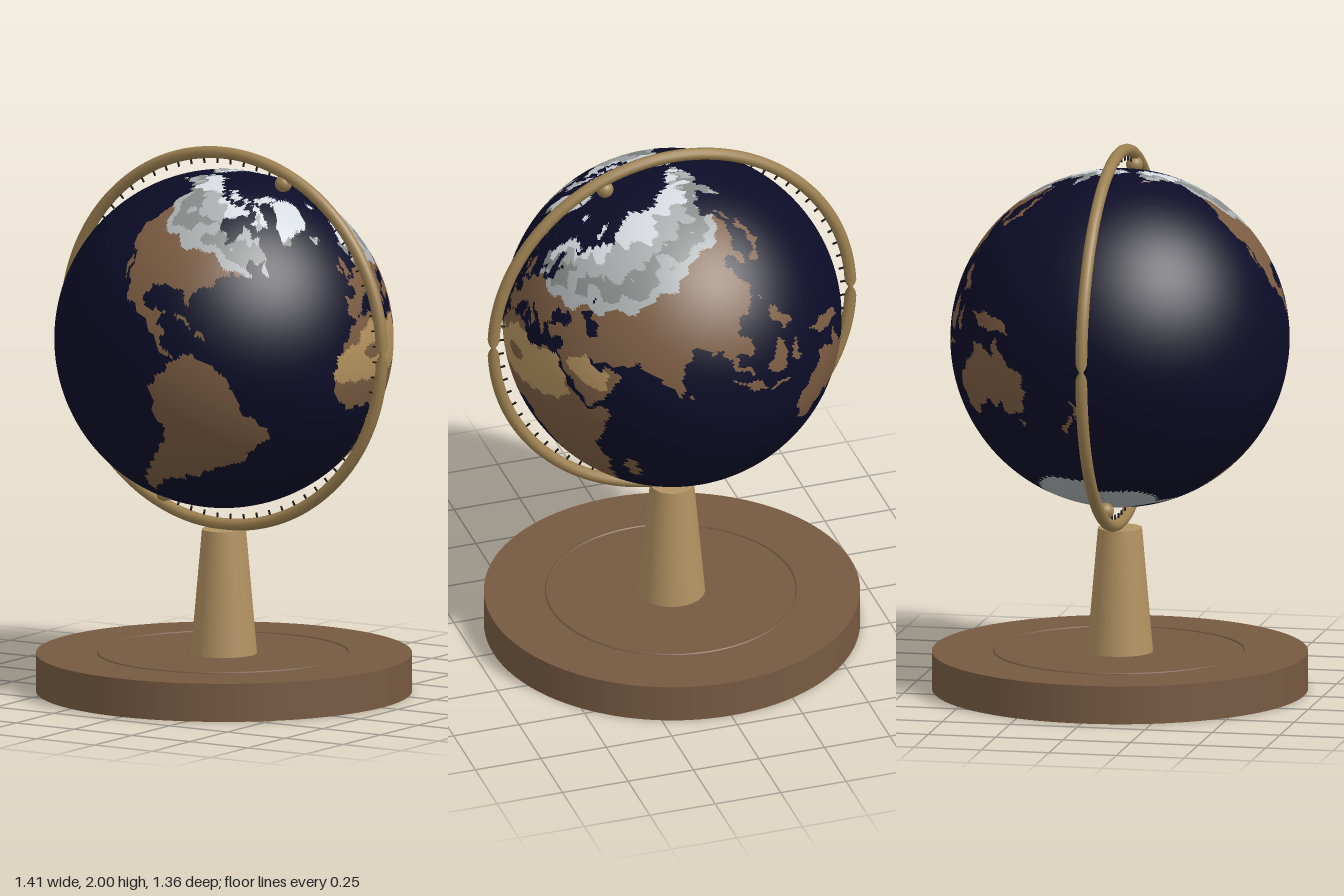
import * as THREE from 'three';

const paint = (name, color) => Object.assign(new THREE.MeshStandardMaterial({ color }), { name });
const M = {
  ocean: paint('ocean navy', 0x0c0c28), land: paint('land brown', 0x7b5c42),
  desert: paint('desert sand', 0xb3925f), snow: paint('snow white', 0xd6dbe1),
  ice: paint('light grey', 0xa9aeaf), rock: paint('mid grey', 0x868b89),
  wood: paint('base wood', 0x775a42), brass: paint('stand brass', 0xb19262),
  ring: paint('ring brass', 0x9c8051), tick: paint('tick black', 0x1c1814),
};
const CENTER = 1.295, R = 0.615, TILT = THREE.MathUtils.degToRad(23.4);

// Coast outlines as longitude, latitude pairs
const northAmerica = [-168, 66, -156, 71, -141, 70, -128, 70, -115, 68, -96, 68, -94, 72, -90, 69, -82, 69.5,
  -82, 67, -87, 65, -94, 60, -92, 57, -82, 55, -80, 51.5, -77, 56, -78, 62, -73, 62, -69, 58.5, -65, 60,
  -61, 56, -56, 52, -60, 50, -66, 50, -65, 48.5, -64, 46, -60, 46, -65, 43.5, -70, 43.5, -70, 41.5, -74, 40.5,
  -76, 36, -81, 31.5, -80, 26, -82, 27, -84, 30, -90, 29.5, -97, 27, -107, 24, -113, 31.5, -117.5, 33,
  -121, 35, -124, 40, -124, 47, -130, 54, -135, 59, -146, 60.5, -152, 59, -164, 54.5, -158, 58.5, -165, 61, -161, 64];
const centralAmerica = [-97, 28, -97.5, 22, -95, 18.5, -91, 18.5, -90, 21, -87, 21, -88.5, 16, -83.5, 15, -83.5, 11,
  -80, 9, -77, 8, -80, 7.5, -85, 10, -88, 13, -94, 16, -102, 18, -105.5, 20.5, -109, 26, -113, 31];
const southAmerica = [-77, 8, -72, 12, -62, 10.5, -52, 5, -50, 0, -44, -2.5, -37, -5, -35, -8, -39, -14, -40, -21,
  -48, -26, -53, -33.5, -57, -35, -57, -38, -62, -39, -65, -43, -66, -47, -69, -51, -66, -55, -72, -53.5,
  -75, -48, -73, -39, -71.5, -30, -70, -19, -76, -14, -81, -5, -80, 0, -77.5, 4];
const africa = [-6, 35.5, 3, 37, 10, 37, 11, 34, 19, 30.5, 23, 32.5, 32, 31, 33, 28, 37, 20, 39.5, 15, 43, 12, 51, 11.5,
  48, 5, 41, -2, 39, -6, 40.5, -14, 35, -20, 35, -24, 32.5, -28, 27, -33.5, 19, -34.5, 15, -26, 12, -17, 13.5, -9,
  9, -1, 9.5, 4, 5, 5, -4, 5, -8, 4.5, -13, 8.5, -17, 14, -16.5, 21, -13, 27.5, -9.5, 31];
const europe = [-9, 43, -9, 37, -5.5, 36, -1, 37, 0, 39.5, 3, 42, 6, 43, 9, 44.3, 11, 42.5, 16, 38, 17, 40.5, 12.5, 44.5,
  14, 45, 19, 42, 20, 39.5, 23, 36.5, 24, 40, 28, 41, 28, 44, 31, 46.5, 34, 44.5, 37, 47, 41.5, 41.3, 48, 41.8,
  47, 45, 51, 47, 56, 50, 61, 55, 63, 69, 54, 68.5, 44, 68, 40, 65, 33, 66.5, 41, 67, 33, 69.5, 26, 71, 18, 69.5,
  13, 66, 5, 62, 5.5, 58.5, 8, 58, 11, 59, 12.5, 56, 16, 56.5, 18, 60, 18, 62.5, 22, 65.5, 25, 65, 21.5, 62,
  22, 60, 29, 60, 23.5, 59, 21, 55, 14, 54, 10.5, 57.5, 8, 56.5, 8.5, 54, 4, 52, 1.5, 50.5, -4.5, 48.5, -1.5, 46, -2, 43.5];
const southAsia = [48, 42, 41, 41.5, 31, 41.3, 27, 40, 27.5, 37, 36, 36.5, 35, 33, 33, 31, 34, 28, 35, 28, 39, 21, 43, 13,
  45, 13, 52, 16, 59.5, 22, 56, 26, 51.5, 24.5, 48, 30, 51, 28.5, 57, 27, 61.5, 25, 67, 25, 70, 21, 73, 18, 77.5, 8,
  80, 13, 82, 16.5, 87, 21, 91, 22.5, 94, 17, 97.5, 16.5, 98.5, 8, 103.5, 1.5, 103, 5, 100, 9, 100.5, 13, 105, 9,
  109, 12, 106, 18, 108, 21.5, 113, 22, 119, 25, 121.5, 30, 119, 35, 122, 37, 118, 39, 118, 42, 60, 50, 51, 47,
  53, 45, 51, 44, 54, 41, 54, 37, 49, 37.5, 49, 40];
const northAsia = [54, 47, 118, 38.5, 121.5, 40.5, 125, 39.5, 126.5, 34.5, 129, 36, 128, 40, 133, 43, 140, 48, 140, 53,
  136, 54.5, 142, 59, 152, 59, 156, 61, 156.5, 51, 162, 56, 163, 60, 171, 60, 180, 62.5, 180, 69, 170, 70, 160, 69.5,
  150, 71.5, 140, 72.5, 130, 71, 113, 74, 104, 77.5, 97, 76, 87, 75, 80, 72.5, 73, 71, 72, 68, 62, 69, 59, 55];
const australia = [114, -22, 122, -18, 129, -15, 131, -12, 136.5, -12, 136, -15, 140, -17.5, 142.5, -11, 146, -19,
  153, -25, 153, -31, 150, -37.5, 145, -38.5, 140, -37.5, 138, -33, 136, -35, 131, -31.5, 124, -33, 118, -35, 115, -34];
const antarctica = [-180, -78, -158, -77, -130, -74, -100, -72.5, -75, -73, -67, -67, -57, -63.5, -61, -74, -50, -78,
  -35, -78, -25, -74, -10, -71, 35, -69.5, 50, -66.5, 70, -68.5, 90, -66.5, 135, -66, 150, -68.5, 170, -71, 165, -78,
  180, -78, 180, -91, -180, -91];
const greenland = [-73, 78, -60, 82, -35, 83.5, -18, 81, -20, 75, -22, 70.5, -32, 68, -40, 65, -43, 60, -50, 62, -54, 68, -60, 76];
const arcticIsles = [
  [-62, 66, -68, 63, -77, 65, -73, 67.5, -78, 70, -89, 73, -80, 73.5, -70, 70.5],
  [-117, 70, -115, 73, -105, 73, -102, 69.5], [-125, 72, -122, 74.5, -116, 73, -120, 71],
  [-90, 77, -80, 76.5, -64, 81.5, -65, 82.5, -90, 81.5], [-95, 75, -80, 75, -82, 76.5, -95, 77],
  [-102, 72, -92, 72, -93, 74, -100, 74], [52, 71, 56, 71, 68, 76.5, 60, 76], [12, 79, 20, 77, 27, 80, 16, 80],
  [-180, 69, -170, 66, -180, 62.5], [-24, 65.5, -18, 66.5, -14, 65, -19, 63.5],
];
const pacificIsles = [
  [131, -1, 138, -2, 147, -6.5, 150, -10.5, 143, -9, 138, -8, 133, -4], [109, 1, 117, 7, 119, 4, 116, -4, 110, -3],
  [95, 5.5, 104, -2, 106, -6, 102, -4], [105, -6, 114, -7.5, 114.5, -8.7, 106, -7.7],
  [119, -5, 120, 1, 125, 1.5, 122, -1, 123, -5], [120, 18, 122, 18, 126, 8, 122, 8, 120, 14],
  [130, 33, 136, 35.5, 140, 39, 141, 45, 145, 43.5, 141.5, 40, 141, 36, 136, 33.5, 131, 31],
  [173, -35, 178, -38, 175, -41.5, 174, -39], [172.5, -40.5, 174, -42, 169, -46.5, 166.5, -46],
  [145, -41, 148, -41, 147, -43.5], [120, 23, 121.5, 25, 121, 22], [142, 46, 143, 54, 144, 49],
];
const otherIsles = [
  [-5, 50, 1.5, 51.5, -2, 56, -3, 58.5, -6, 57, -3, 54, -5, 52], [-10, 52, -6, 52, -6, 55, -9, 54],
  [-84, 22, -77, 20, -75, 20.3, -81, 23], [-74, 18, -69, 18.3, -70, 20, -73, 20], [-59, 47.5, -53, 47, -56, 51.5],
  [49, -12, 50, -16, 47, -25, 44, -23, 44.5, -16], [80, 9, 82, 7, 80.5, 6], [12.5, 38, 15.5, 38, 15, 36.7],
  [8.3, 39, 9.7, 39, 9.5, 43, 8.6, 42], [-115, 30, -112, 29, -109.5, 23, -112.5, 26],
];
const sandAreas = [
  [-17, 14.5, -17, 21, -13, 26, -7, 27, -2, 31, 3, 34, 10, 34, 20, 31, 32, 31.5, 35, 24, 36, 17, 32, 14.5, 20, 14, 0, 14.5],
  [36, 29, 46, 31, 55, 23, 52, 18, 46, 19],
];
const lands = [northAmerica, centralAmerica, southAmerica, africa, europe, southAsia, northAsia, australia,
  antarctica, greenland, ...arcticIsles, ...pacificIsles, ...otherIsles];
// Southern edge of the cold zone: longitude, latitude
const coldEdge = [[-180, 56], [-135, 56], [-112, 45], [-65, 44], [-20, 58], [12, 55], [30, 50], [70, 42], [110, 46], [140, 50], [180, 56]];

function inside(p, x, y) {
  let hit = false;
  for (let i = 0, j = p.length - 2; i < p.length; j = i, i += 2) {
    if ((p[i + 1] > y) !== (p[j + 1] > y) &&
      x < (p[j] - p[i]) * (y - p[i + 1]) / (p[j + 1] - p[i + 1]) + p[i]) hit = !hit;
  }
  return hit;
}

// Smooth wobble between about -1 and 1 for irregular borders
const wobble = (lon, lat) => (Math.sin(lon * 0.13 + lat * 0.21) + Math.sin(lon * 0.29 - lat * 0.37 + 2)
  + 0.7 * Math.sin(lon * 0.53 + lat * 0.61 + 1)) / 2.4;

function surfaceAt(lon, lat) {
  // Ragged coasts
  const x = lon + 0.7 * Math.sin(lat * 1.1 + lon * 0.3), y = lat + 0.6 * Math.sin(lon * 0.9);
  if (!lands.some((p) => inside(p, x, y))) return 'ocean';
  if (lat < -60) return 'ice';
  const w = wobble(lon, lat);
  if (sandAreas.some((p) => inside(p, x, y))) return Math.hypot((lon - 5) / 6, (lat - 24) / 2.5) < 1 ? 'land' : 'desert';
  const k = Math.max(1, coldEdge.findIndex((e) => e[0] >= lon));
  const [a, b] = [coldEdge[k - 1], coldEdge[k]];
  const depth = lat - (a[1] + (b[1] - a[1]) * (lon - a[0]) / (b[0] - a[0])) + 2.5 * w;
  if (depth < 0) return 'land';
  if (lat + 5 * w > 65) return 'snow';
  return depth > 4 && depth < 13 && w > -0.35 ? 'rock' : 'ice';
}

// Sphere whose triangles are sorted into one group per surface colour
function globeGeometry() {
  const geo = new THREE.SphereGeometry(R, 320, 160), uv = geo.attributes.uv, old = geo.index.array;
  const keys = ['ocean', 'land', 'desert', 'snow', 'ice', 'rock'];
  const lists = keys.map(() => []);
  for (let i = 0; i < old.length; i += 3) {
    const t = [old[i], old[i + 1], old[i + 2]];
    const mean = (f) => (f(t[0]) + f(t[1]) + f(t[2])) / 3;
    const key = surfaceAt((mean((n) => uv.getX(n)) - 0.5) * 360, (mean((n) => uv.getY(n)) - 0.5) * 180);
    lists[keys.indexOf(key)].push(...t);
  }
  geo.clearGroups();
  let start = 0;
  lists.forEach((l, i) => { geo.addGroup(start, l.length, i); start += l.length; });
  geo.setIndex(lists.flat());
  return [geo, keys.map((k) => M[k])];
}

// Half of the meridian ring, pinched at both ends
function halfRing() {
  const rad = 0.682, geo = new THREE.TorusGeometry(rad, 0.022, 12, 128, Math.PI), p = geo.attributes.position;
  for (let i = 0; i < p.count; i++) {
    const a = Math.abs(Math.atan2(p.getY(i), p.getX(i)));
    const s = Math.min(1, 0.35 + 0.65 * Math.min(a, Math.PI - a) * rad / 0.025);
    const r = rad + (Math.hypot(p.getX(i), p.getY(i)) - rad) * s;
    p.setXYZ(i, Math.cos(a) * r, Math.sin(a) * r, p.getZ(i) * s);
  }
  return geo;
}

export function createModel() {
  const model = new THREE.Group();
  model.name = 'deskGlobe';
  const add = (name, geo, mat, x = 0, y = 0, z = 0, parent = model) => {
    const m = new THREE.Mesh(geo, mat);
    m.name = name;
    m.position.set(x, y, z);
    parent.add(m);
    return m;
  };

  // Stand
  add('base', new THREE.CylinderGeometry(0.682, 0.682, 0.14, 96), M.wood, 0, 0.07);
  add('baseTrim', new THREE.TorusGeometry(0.455, 0.006, 8, 96), M.wood, 0, 0.14).rotation.x = Math.PI / 2;
  add('post', new THREE.CylinderGeometry(0.08, 0.12, 0.455, 48), M.brass, 0, 0.3675);

  // Meridian ring with degree ticks on its inner side
  const ring = new THREE.Group();
  ring.name = 'meridianRing';
  ring.position.y = CENTER;
  model.add(ring);
  const half = halfRing();
  add('upperRing', half, M.ring, 0, 0, 0, ring);
  add('lowerRing', half, M.ring, 0, 0, 0, ring).rotation.z = Math.PI;
  const tickGeo = new THREE.BoxGeometry(0.022, 0.005, 0.006);
  for (let i = 0; i < 72; i++) {
    const a = (i + 0.5) / 72 * Math.PI * 2;
    add('tick', tickGeo, M.tick, Math.cos(a) * 0.654, Math.sin(a) * 0.654, 0, ring).rotation.z = a;
  }

  // Tilted globe with a pivot at each pole
  const globe = new THREE.Group();
  globe.name = 'globe';
  globe.position.y = CENTER;
  globe.rotation.z = -TILT;
  model.add(globe);
  add('earth', ...globeGeometry(), 0, 0, 0, globe);
  for (const s of [1, -1]) add('polePivot', new THREE.SphereGeometry(0.031, 24, 16), M.ring, 0, s * 0.645, 0, globe);
  return model;
}
